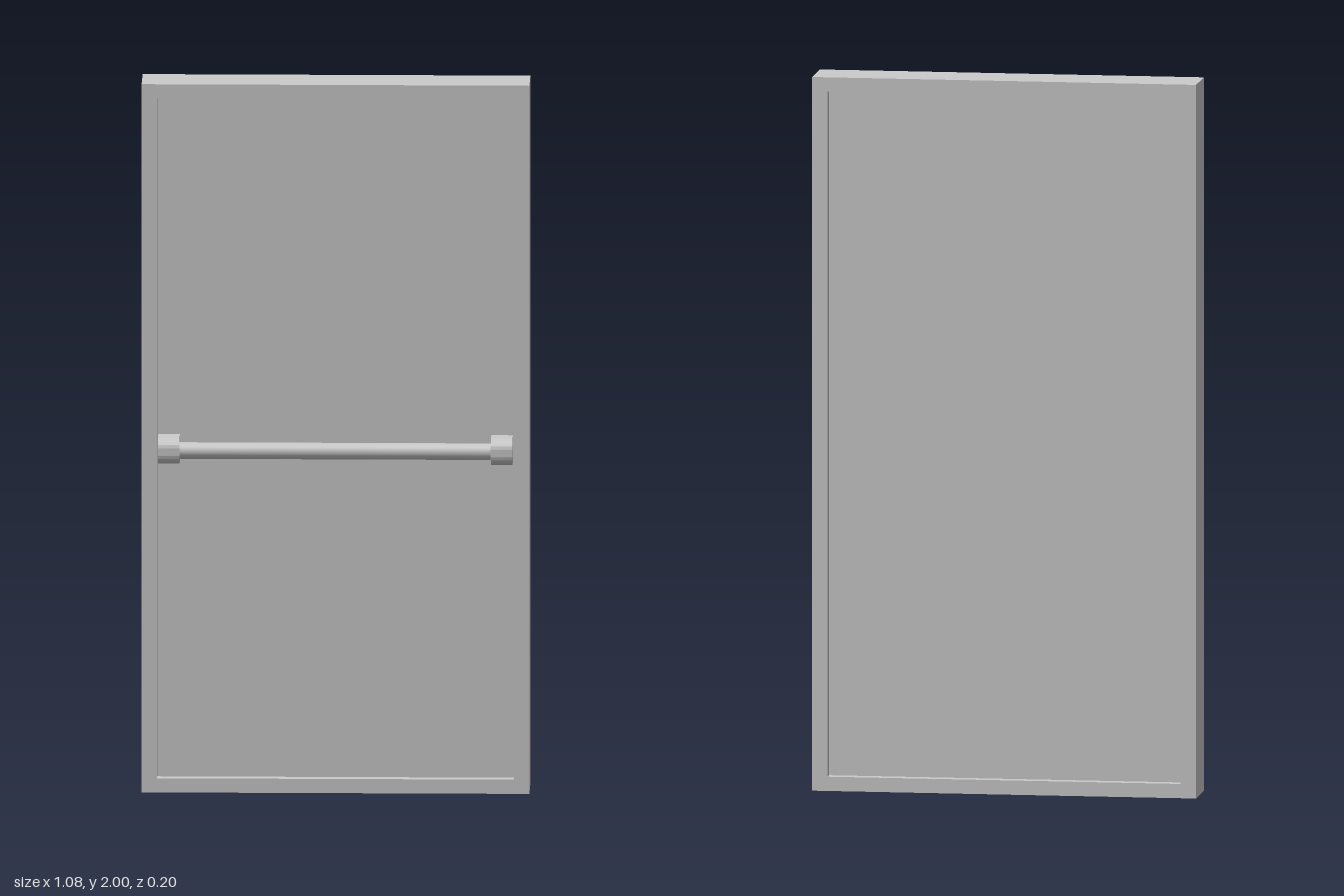
import * as THREE from 'three';
import { toCreasedNormals } from 'three/addons/utils/BufferGeometryUtils.js';

export function createModel() {
  const model = new THREE.Group();
  model.name = 'door';
  const material = new THREE.MeshStandardMaterial({ color: 0xcccccc });

  const add = (name, geometry, x = 0, y = 0, z = 0) => {
    const mesh = new THREE.Mesh(geometry, material);
    mesh.name = name;
    mesh.position.set(x, y, z);
    model.add(mesh);
    return mesh;
  };

  const rectangle = (PathType, x, y0, y1) => new PathType([
    new THREE.Vector2(-x, y0), new THREE.Vector2(x, y0),
    new THREE.Vector2(x, y1), new THREE.Vector2(-x, y1),
  ]);

  // Outer frame with a rectangular opening
  const outline = rectangle(THREE.Shape, 0.538, 0, 2);
  outline.holes.push(rectangle(THREE.Path, 0.495, 0.04, 1.96));
  add('frame', new THREE.ExtrudeGeometry(outline, { depth: 0.15, bevelEnabled: false }), 0, 0, -0.1);

  // Door panel, recessed on both faces
  add('panel', new THREE.BoxGeometry(0.99, 1.92, 0.09), 0, 1, -0.025);

  // Push bar
  const barY = 0.97;
  const bar = add('pushBar', new THREE.CylinderGeometry(0.023, 0.023, 0.88, 32), 0, barY, 0.071);
  bar.rotation.z = Math.PI / 2;

  // End brackets: profile drawn as (-z, y), rounded towards the front
  const back = -0.018, front = -0.098, h = 0.037, r = 0.03;
  const profile = new THREE.Shape();
  profile.moveTo(back, -h);
  profile.lineTo(back, h);
  profile.lineTo(front + r, h);
  profile.absarc(front + r, h - r, r, Math.PI / 2, Math.PI, false);
  profile.lineTo(front, r - h);
  profile.absarc(front + r, r - h, r, Math.PI, Math.PI * 1.5, false);
  profile.closePath();
  const bracketGeometry = toCreasedNormals(
    new THREE.ExtrudeGeometry(profile, { depth: 0.06, bevelEnabled: false, curveSegments: 10 })
      .translate(0, 0, -0.03).rotateY(Math.PI / 2), 0.6);
  for (const [name, side] of [['leftBracket', 1], ['rightBracket', -1]]) {
    add(name, bracketGeometry, side * 0.462, barY, 0);
  }

  return model;
}
